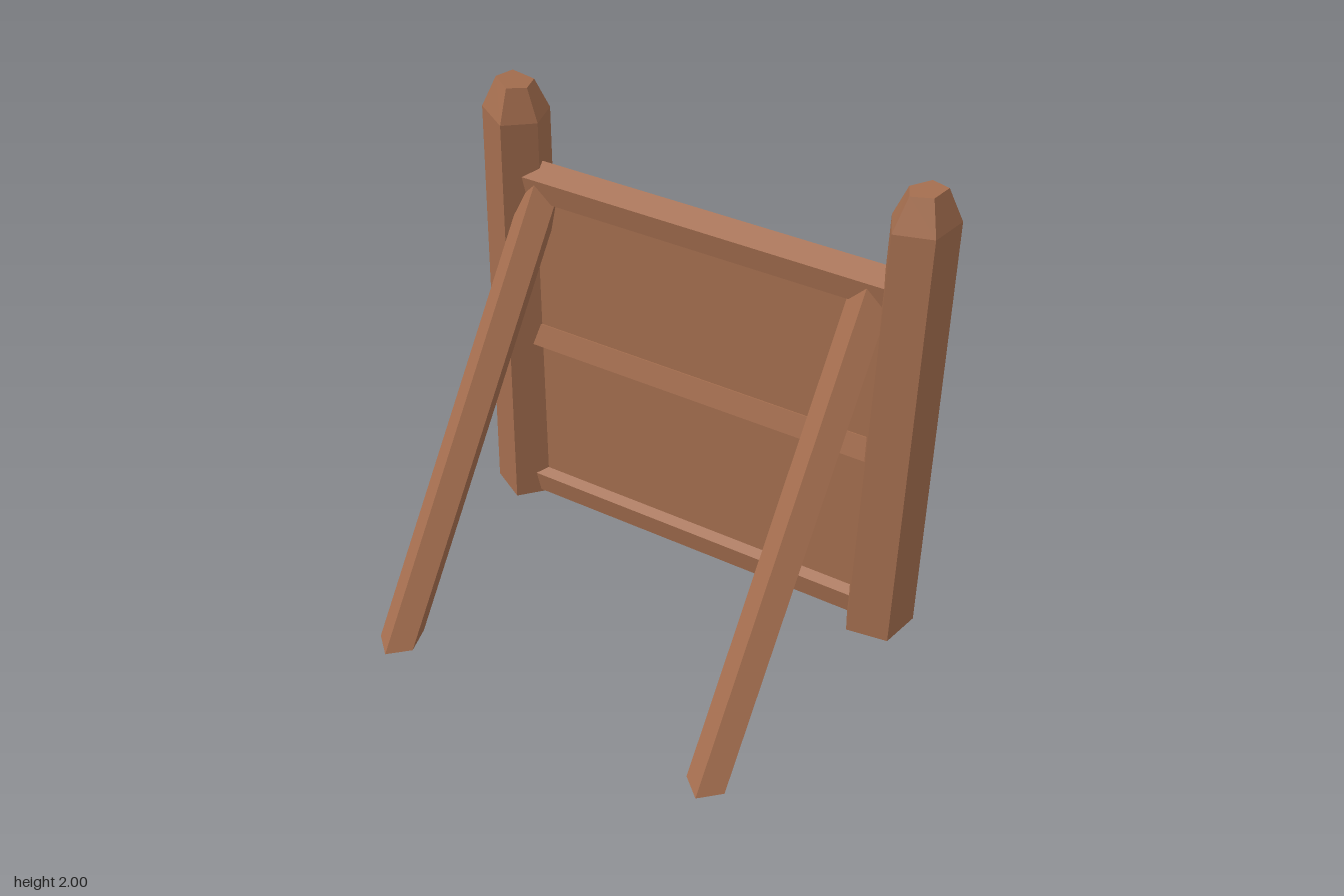
import * as THREE from 'three';

// Closed flat-faced solid through rings of [x, y, z] points, capped at both ends
function loft(rings) {
  const tris = [];
  const n = rings[0].length;
  for (let r = 0; r < rings.length - 1; r++) {
    for (let i = 0; i < n; i++) {
      const j = (i + 1) % n;
      const [a, b, c, d] = [rings[r][i], rings[r][j], rings[r + 1][j], rings[r + 1][i]];
      tris.push([a, b, c], [a, c, d]);
    }
  }
  const first = rings[0], last = rings[rings.length - 1];
  for (let i = 1; i < n - 1; i++) {
    tris.push([first[0], first[i + 1], first[i]], [last[0], last[i], last[i + 1]]);
  }
  // Make every face point outward, whatever the ring direction
  let volume = 0;
  for (const [a, b, c] of tris) {
    volume += new THREE.Vector3(...a).dot(new THREE.Vector3(...b).cross(new THREE.Vector3(...c)));
  }
  if (volume < 0) tris.forEach((t) => t.reverse());
  const geometry = new THREE.BufferGeometry();
  geometry.setAttribute('position', new THREE.Float32BufferAttribute(tris.flat(2), 3));
  geometry.computeVertexNormals();
  return geometry;
}

// Tapered five-sided post with a chamfered, slightly tilted top
function postGeometry(base, shoulder, tip, tilt) {
  const cx = base.reduce((s, p) => s + p[0], 0) / base.length;
  const cz = base.reduce((s, p) => s + p[1], 0) / base.length;
  const ring = (y, scale, slope) => base.map(([x, z]) => {
    const dx = (x - cx) * scale;
    return [cx + dx, y + dx * slope, cz + (z - cz) * scale];
  });
  return loft([ring(0, 1, 0), ring(shoulder, 0.9, tilt * 0.6), ring(tip, 0.5, tilt)]);
}

// Five-sided rail running along x; turn is the angle of its front edge above +z
function railGeometry(cy, cz, turn) {
  const ring = (x) => Array.from({ length: 5 }, (_, i) => {
    const a = THREE.MathUtils.degToRad(turn + i * 72);
    return [x, Math.max(0, cy + 0.083 * Math.sin(a)), cz + 0.083 * Math.cos(a)];
  });
  return loft([ring(-0.84), ring(0.84)]);
}

// Leaning five-sided brace, cut level at the ground and buried in the panel on top
function braceGeometry(cx) {
  const lean = 0.742;
  const foot = [[0, 0.68], [0.08, 0.605], [0.05, 0.49], [-0.05, 0.49], [-0.08, 0.605]];
  const bottom = foot.map(([x, z]) => [cx + x, 0, z]);
  const top = foot.map(([x, z]) => {
    const y = Math.min(1.585, (z + 0.53) / lean);
    return [cx + x, y, z - y * lean];
  });
  return loft([bottom, top]);
}

export function createModel() {
  const wood = new THREE.MeshStandardMaterial({ color: 0xa36d4e, flatShading: true });
  wood.name = 'brownWood';
  const model = new THREE.Group();
  model.name = 'bracedWoodenPanel';
  const add = (name, geometry) => {
    const mesh = new THREE.Mesh(geometry, wood);
    mesh.name = name;
    model.add(mesh);
    return mesh;
  };

  // Posts
  add('rightPost', postGeometry(
    [[-0.95, -0.67], [-0.76, -0.68], [-0.725, -0.53], [-0.835, -0.41], [-0.99, -0.5]], 1.82, 1.95, -0.17));
  add('leftPost', postGeometry(
    [[0.83, -0.68], [0.985, -0.6], [0.95, -0.425], [0.78, -0.4], [0.715, -0.55]], 1.86, 1.99, 0.14));

  // Panel between the posts
  add('panel', new THREE.BoxGeometry(1.66, 1.55, 0.07)).position.set(0, 0.775, -0.555);

  // Rails
  add('topRail', railGeometry(1.548, -0.552, 28));
  add('middleRail', railGeometry(0.824, -0.567, -20));
  add('bottomRail', railGeometry(0.07, -0.552, 28));

  // Front braces
  add('rightBrace', braceGeometry(-0.73));
  add('leftBrace', braceGeometry(0.69));

  return model;
}
